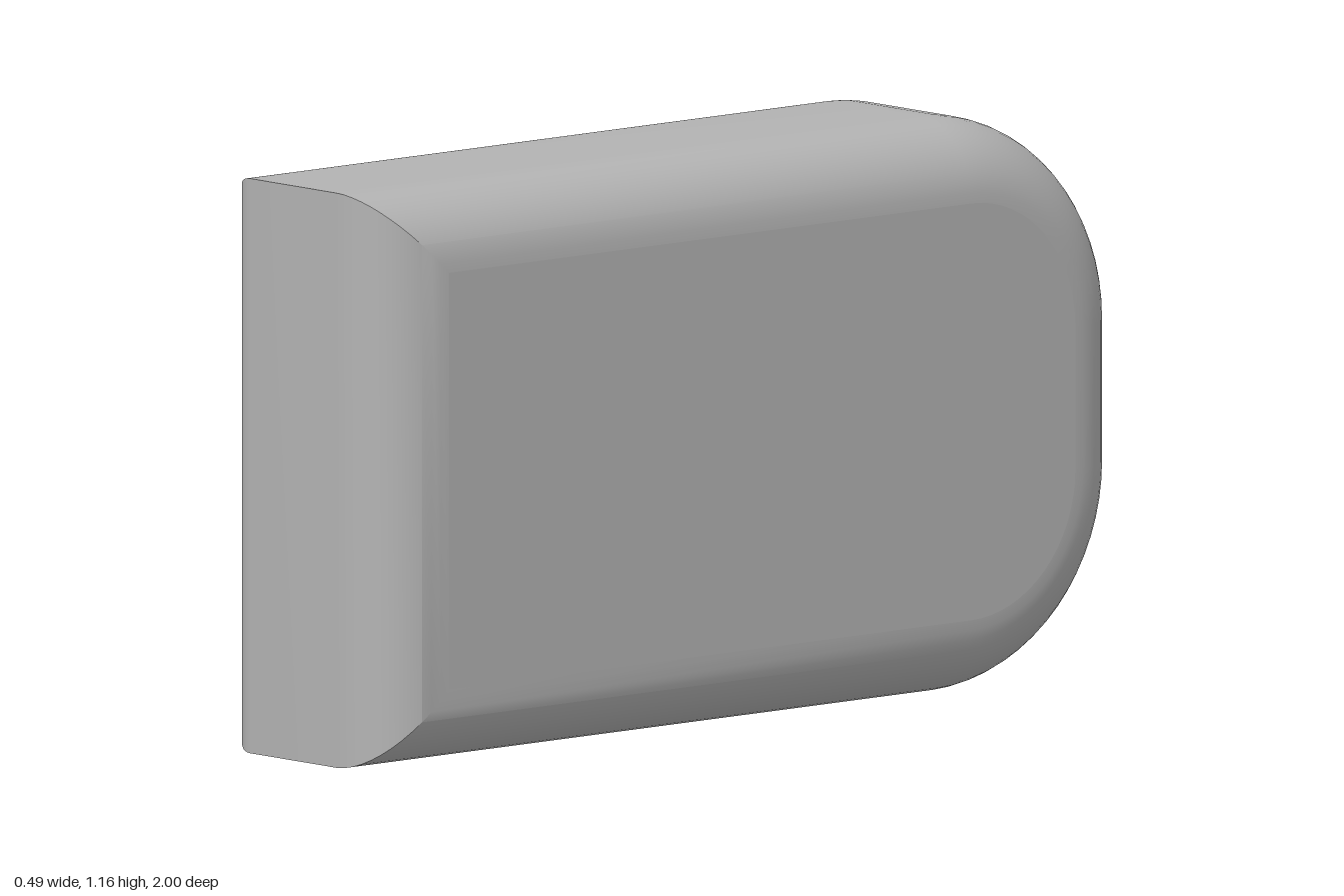
import * as THREE from 'three';
import { mergeGeometries, toCreasedNormals } from 'three/addons/utils/BufferGeometryUtils.js';

const HALF = 0.2425;   // half thickness
const EDGE = 0.065;    // small rounding
const BIG = 0.16;      // large rounding on the +x side
const FLOOR = -0.06;   // recess floor

// Outlines are counter-clockwise points (u, y) with u = -z, shrunk by an inset.
function bodyOutline(inset) {
  const r = 0.44 - inset, top = 1.165, n = 16;
  const pts = [new THREE.Vector2(-1 + inset, inset)];
  for (const [cy, start] of [[0.44, -Math.PI / 2], [top - 0.44, 0]]) {
    for (let i = 0; i <= n; i++) {
      const a = start + (i / n) * Math.PI / 2;
      pts.push(new THREE.Vector2(0.56 + r * Math.cos(a), cy + r * Math.sin(a)));
    }
  }
  pts.push(new THREE.Vector2(-1 + inset, top - inset));
  return pts;
}

const rectOutline = (z0, z1, y0, y1) => (i) => [
  new THREE.Vector2(-z1 + i, y0 + i), new THREE.Vector2(-z0 - i, y0 + i),
  new THREE.Vector2(-z0 - i, y1 - i), new THREE.Vector2(-z1 + i, y1 - i),
];

// Quarter-round rows [x, inset], starting at the flat face
function fillet(x, r, dir, sign = 1) {
  return Array.from({ length: 13 }, (_, k) => {
    const t = (k / 12) * Math.PI / 2;
    return [x + dir * r * (1 - Math.cos(t)), sign * r * (1 - Math.sin(t))];
  });
}

// Skin joining the outline at each row
function loft(outline, rows) {
  const pos = [], idx = [], n = outline(0).length;
  rows.forEach(([x, inset]) => outline(inset).forEach((p) => pos.push(x, p.y, -p.x)));
  for (let i = 0; i < rows.length - 1; i++) {
    for (let j = 0; j < n; j++) {
      const k = (j + 1) % n;
      const a = i * n + j, b = i * n + k, c = b + n, d = a + n;
      idx.push(a, b, c, a, c, d);
    }
  }
  const g = new THREE.BufferGeometry();
  g.setAttribute('position', new THREE.Float32BufferAttribute(pos, 3));
  g.setIndex(idx);
  return toCreasedNormals(g, 0.5);
}

// Flat face at x, looking along +x or -x
function cap(points, x, facing, hole) {
  const shape = new THREE.Shape(points);
  if (hole) shape.holes.push(new THREE.Path(hole));
  const g = new THREE.ShapeGeometry(shape);
  if (facing < 0) g.setIndex(Array.from(g.index.array).reverse());
  g.rotateY(Math.PI / 2).translate(x, 0, 0);
  const flat = g.toNonIndexed();
  flat.deleteAttribute('uv');
  flat.computeVertexNormals();
  return flat;
}

export function createModel() {
  const group = new THREE.Group();
  const grey = new THREE.MeshStandardMaterial({ color: 0xb3b3b3 });
  grey.name = 'grey';
  const add = (name, parts) => {
    const mesh = new THREE.Mesh(mergeGeometries(parts), grey);
    mesh.name = name;
    group.add(mesh);
  };

  const recess = rectOutline(-0.215, 0.715, 0.175, 0.99);
  const block = rectOutline(-0.12, 0.625, 0.25, 0.91);

  // Body with one round end, open to the recess on its -x face
  add('body', [
    loft(bodyOutline, [...fillet(-HALF, EDGE, 1), ...fillet(HALF, BIG, -1).reverse()]),
    cap(bodyOutline(BIG), HALF, 1),
    cap(bodyOutline(EDGE), -HALF, -1, recess(-EDGE)),
  ]);

  // Recess with rounded rim
  add('recess', [
    loft(recess, [...fillet(-HALF, EDGE, 1, -1), [FLOOR, 0]].reverse()),
    cap(recess(0), FLOOR, -1),
  ]);

  // Raised block inside the recess
  add('centreBlock', [
    loft(block, [...fillet(-HALF, EDGE, 1), [FLOOR, 0]]),
    cap(block(EDGE), -HALF, -1),
  ]);
  return group;
}
